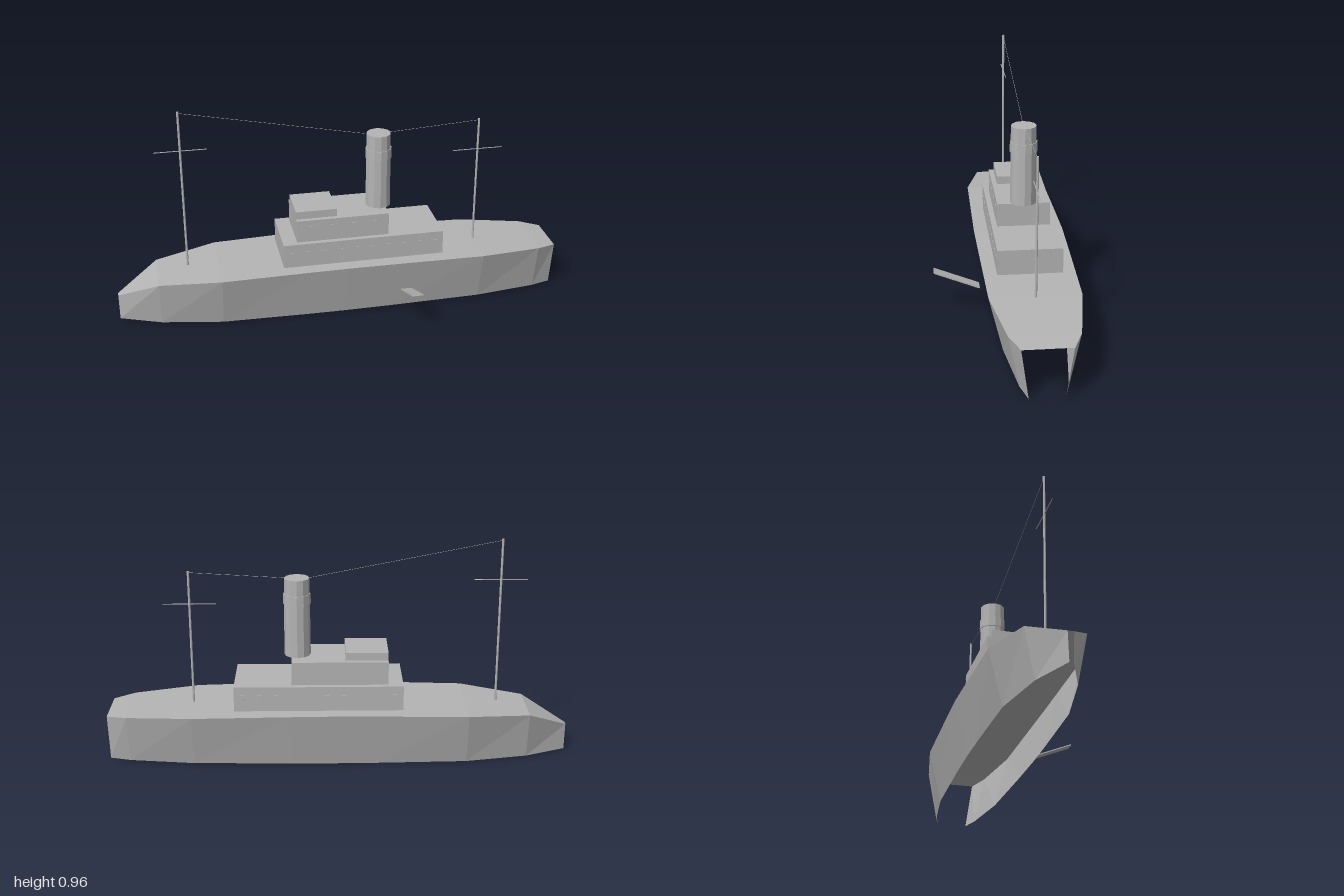
import * as THREE from 'three';

const grey = new THREE.MeshStandardMaterial({ color: 0xb4b4b4, flatShading: true, side: THREE.DoubleSide });
grey.name = 'ship grey';
const ZC = -0.095; // centreline of the ship

// Open shell from stations: x, deck height, half width at deck, half width at waterline
const stations = [
  [-1, 0.12, 0.012, 0.008], [-0.82, 0.21, 0.12, 0.08], [-0.55, 0.235, 0.188, 0.13],
  [-0.18, 0.243, 0.195, 0.14], [0, 0.246, 0.198, 0.142], [0.22, 0.243, 0.195, 0.14],
  [0.63, 0.235, 0.188, 0.13], [0.91, 0.22, 0.14, 0.095], [1, 0.21, 0.1, 0.07],
];

function hullGeometry() {
  const pos = [];
  const quad = (a, b, c, d) => pos.push(...a, ...b, ...c, ...a, ...c, ...d);
  for (let i = 0; i < stations.length - 1; i++) {
    const ring = ([x, y, top, bottom]) => [
      [x, 0, bottom], [x, y, top], [x, y, -top], [x, 0, -bottom],
    ];
    const a = ring(stations[i]), b = ring(stations[i + 1]);
    for (let k = 0; k < 3; k++) quad(a[k], b[k], b[k + 1], a[k + 1]);
  }
  const g = new THREE.BufferGeometry();
  g.setAttribute('position', new THREE.Float32BufferAttribute(pos, 3));
  g.computeVertexNormals();
  return g;
}

export function createModel() {
  const model = new THREE.Group();
  model.name = 'steamship';

  const add = (name, geometry, x = 0, y = 0, z = 0, parent = model) => {
    const mesh = new THREE.Mesh(geometry, grey);
    mesh.name = name;
    mesh.position.set(x, y, z);
    parent.add(mesh);
    return mesh;
  };
  // Box given by its limits, with z measured from the centreline
  const block = (name, x0, x1, y0, y1, halfZ) =>
    add(name, new THREE.BoxGeometry(x1 - x0, y1 - y0, halfZ * 2), (x0 + x1) / 2, (y0 + y1) / 2, ZC);
  // Thin rod between two points
  const rod = (name, a, b, radius, sides, parent = model) => {
    const from = new THREE.Vector3(...a), to = new THREE.Vector3(...b);
    const dir = to.clone().sub(from);
    const mesh = add(name, new THREE.CylinderGeometry(radius, radius, dir.length(), sides), 0, 0, 0, parent);
    mesh.position.copy(from).add(to).multiplyScalar(0.5);
    mesh.quaternion.setFromUnitVectors(new THREE.Vector3(0, 1, 0), dir.normalize());
  };

  add('hull', hullGeometry(), 0, 0, ZC);

  // Superstructure
  block('lowerDeckhouse', -0.272, 0.45, 0.246, 0.355, 0.136);
  block('upperDeckhouse', -0.208, 0.204, 0.355, 0.457, 0.113);
  block('bridge', -0.208, -0.026, 0.457, 0.492, 0.092);

  // Windows on both sides of the lower house and the front of the upper house
  const windows = new THREE.Group();
  windows.name = 'windows';
  model.add(windows);
  for (const side of [-1, 1])
    for (let i = 0; i < 10; i++)
      add('lowerWindow', new THREE.BoxGeometry(0.02, 0.02, 0.004), -0.235 + i * 0.072, 0.308, ZC + side * 0.137, windows);
  for (let i = 0; i < 4; i++)
    add('upperWindow', new THREE.BoxGeometry(0.026, 0.03, 0.004), -0.14 + i * 0.095, 0.415, ZC + 0.114, windows);

  // Funnel with its raised band
  add('funnel', new THREE.CylinderGeometry(0.054, 0.057, 0.341, 12), 0.179, 0.627, ZC);
  add('funnelBand', new THREE.CylinderGeometry(0.058, 0.059, 0.044, 12), 0.179, 0.707, ZC);

  // Masts, yards and rigging wires
  for (const [name, x, top, yardY] of [['fore', -0.685, 0.962, 0.785], ['aft', 0.635, 0.828, 0.683]]) {
    rod(name + 'Mast', [x, 0.235, ZC], [x, top, ZC], 0.005, 8);
    rod(name + 'Yard', [x - 0.113, yardY, ZC], [x + 0.113, yardY, ZC], 0.002, 6);
    rod(name + 'Wire', [x, top - 0.006, ZC], [0.179 + Math.sign(x) * 0.05, 0.797, ZC], 0.0008, 4);
  }

  // Sloping plank projecting from the side
  const plank = add('sidePlank', new THREE.BoxGeometry(0.05, 0.005, 0.208), 0.27, 0.151, 0.198);
  plank.rotation.x = -Math.atan2(0.078, 0.193);

  return model;
}
